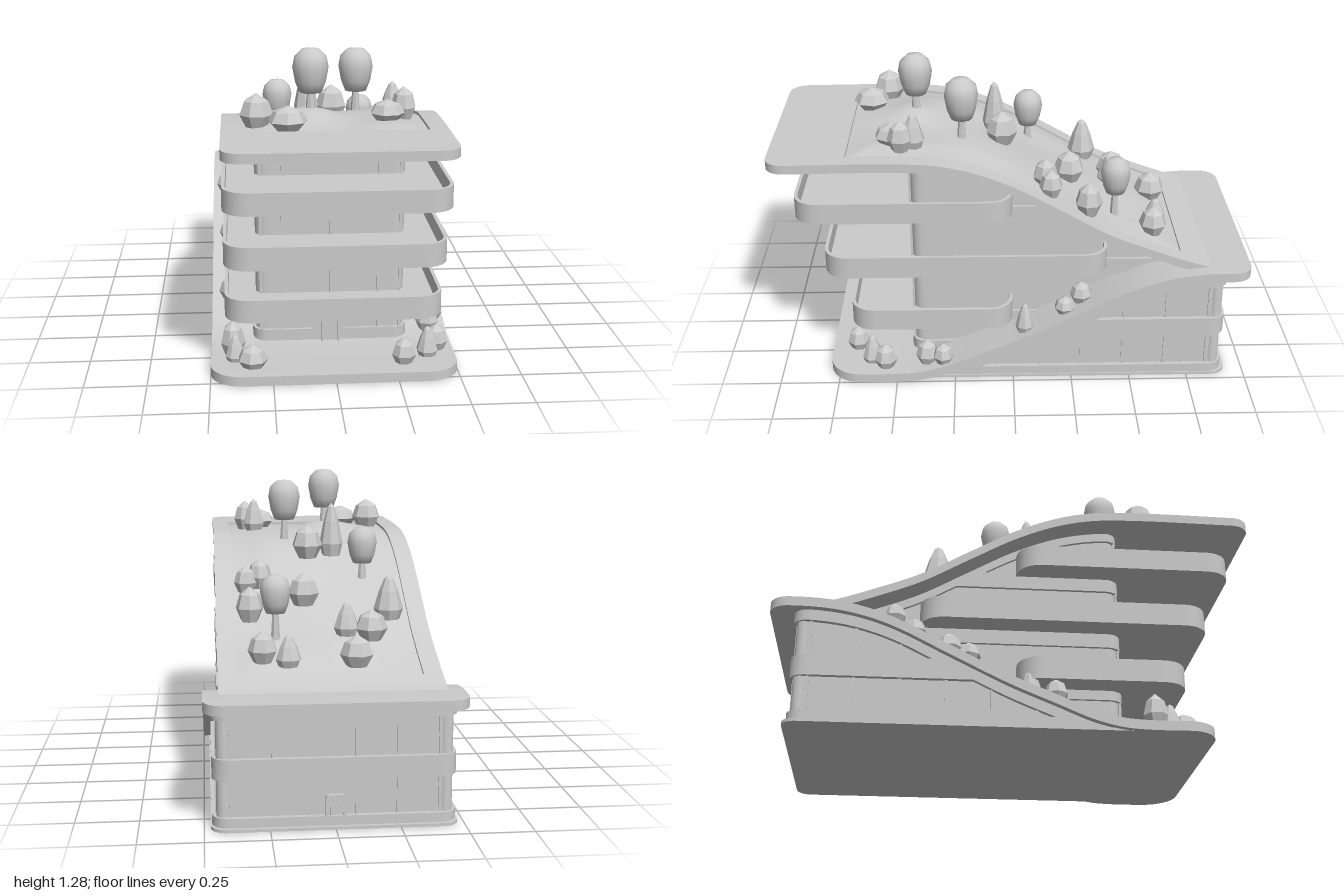
import * as THREE from 'three';
import { toCreasedNormals } from 'three/addons/utils/BufferGeometryUtils.js';

const grey = new THREE.MeshStandardMaterial({ color: 0xcccccc });
const facet = new THREE.MeshStandardMaterial({ color: 0xcccccc, flatShading: true });

// Smooth height curve y(z) through points listed from back to front
const curve = (pts) => (z) => {
  const n = pts.length;
  if (z <= pts[0][0]) return pts[0][1];
  if (z >= pts[n - 1][0]) return pts[n - 1][1];
  const k = pts.findIndex((p) => p[0] > z) - 1;
  const slope = (i) => (i <= 0 || i >= n - 1 ? 0 : (pts[i + 1][1] - pts[i - 1][1]) / (pts[i + 1][0] - pts[i - 1][0]));
  const h = pts[k + 1][0] - pts[k][0], t = (z - pts[k][0]) / h, s = 1 - t;
  return pts[k][1] * (1 + 2 * t) * s * s + slope(k) * h * t * s * s
    + pts[k + 1][1] * t * t * (3 - 2 * t) - slope(k + 1) * h * t * t * s;
};
const roofY = curve([[-1, 0.505], [-0.85, 0.511], [-0.75, 0.537], [-0.6, 0.59], [-0.4, 0.672], [-0.2, 0.785], [0, 0.895], [0.2, 0.97], [0.4, 1], [1, 1]]);
const rampY = curve([[-1, 0.515], [-0.8, 0.513], [-0.65, 0.49], [-0.5, 0.44], [-0.3, 0.34], [-0.05, 0.215], [0.14, 0.135], [0.3, 0.07], [0.45, 0.04], [0.79, 0.04]]);

// Skin a list of cross-sections; closed sections wrap round
function loft(rows, closed) {
  const m = rows[0].length, index = [];
  for (let i = 0; i < rows.length - 1; i++) {
    for (let j = 0; j < (closed ? m : m - 1); j++) {
      const a = i * m + j, b = i * m + (j + 1) % m;
      index.push(a, b, a + m, b, b + m, a + m);
    }
  }
  const g = new THREE.BufferGeometry();
  g.setAttribute('position', new THREE.Float32BufferAttribute(rows.flat(2), 3));
  g.setIndex(index);
  return toCreasedNormals(g, 0.6);
}

// Curved slab running front to back, with rounded plan corners
function slab({ x0, x1, front, back, rf = 0, rb = 0, top, thick }) {
  const zs = [];
  for (let i = 0; i <= 64; i++) zs.push(front + (back - front) * i / 64);
  for (let i = 1; i < 10; i++) {
    const c = 1 - Math.cos(i * Math.PI / 20);
    if (rf) zs.push(front - rf * c);
    if (rb) zs.push(back + rb * c);
  }
  zs.sort((a, b) => b - a);
  const cut = (d, r) => (d < r ? r - Math.sqrt(Math.max(0, r * r - (r - d) ** 2)) : 0);
  const rows = zs.map((z) => {
    const c = cut(front - z, rf) + cut(z - back, rb), y = top(z);
    return [[x0 + c, y, z], [x1 - c, y, z], [x1 - c, y - thick, z], [x0 + c, y - thick, z]];
  });
  const cap = (z) => Array(4).fill([(x0 + x1) / 2, top(z) - thick / 2, z]);
  return loft([cap(front), ...rows, cap(back)], true);
}

// Rounded rectangle in plan, with points along the straight sides
function plan(hw, front, back, r) {
  const pts = [], corners = [[1, 1], [-1, 1], [-1, -1], [1, -1]];
  corners.forEach(([sx, sz], k) => {
    const cx = sx * (hw - r), cz = sz > 0 ? front - r : back + r;
    for (let i = 0; i <= 6; i++) {
      const a = (k + i / 6) * Math.PI / 2;
      pts.push([cx + r * Math.cos(a), cz + r * Math.sin(a)]);
    }
    const [nx, nz] = corners[(k + 1) % 4], last = pts[pts.length - 1];
    const a = (k + 1) * Math.PI / 2;
    const ex = nx * (hw - r) + r * Math.cos(a), ez = (nz > 0 ? front - r : back + r) + r * Math.sin(a);
    for (let i = 1; i < 32; i++) pts.push([last[0] + (ex - last[0]) * i / 32, last[1] + (ez - last[1]) * i / 32]);
  });
  pts.push(pts[0]);
  return pts;
}

// Wall ring on a rounded plan, cut off below a lid height
function ring(hw, front, back, r, t, y0, y1, lid = () => 9) {
  const at = (f, z) => Math.max(0.004, Math.min(typeof f === 'function' ? f(z) : f, lid(z)));
  const outer = plan(hw, front, back, r), inner = plan(hw - t, front - t, back + t, r - t);
  return loft(outer.map(([x, z], i) => {
    const [u, w] = inner[i];
    return [[x, at(y0, z), z], [x, at(y1, z), z], [u, at(y1, z), w], [u, at(y0, z), w]];
  }), true);
}

export function createModel() {
  const model = new THREE.Group();
  const add = (name, geo, x = 0, y = 0, z = 0, mat = grey, parent = model) => {
    const m = new THREE.Mesh(geo, mat);
    m.name = name;
    m.position.set(x, y, z);
    parent.add(m);
    return m;
  };
  const bar = (name, x, z, y0, y1, w = 0.01, d = 0.01) => {
    if (y1 - y0 > 0.02) add(name, new THREE.BoxGeometry(w, y1 - y0, d), x, (y0 + y1) / 2, z);
  };

  // Ramp rising from the front terrace to the back deck
  add('ramp', slab({ x0: -0.5, x1: 0.5, front: 0.79, back: -1, rf: 0.13, rb: 0.08, top: rampY, thick: 0.04 }));

  // Roof frame around a sunken garden bed
  const roof = { top: roofY, thick: 0.038 };
  add('roofFront', slab({ ...roof, x0: -0.44, x1: 0.44, front: 1, back: 0.68, rf: 0.08 }));
  add('roofBack', slab({ ...roof, x0: -0.44, x1: 0.44, front: -0.71, back: -0.87 }));
  for (const s of [-1, 1]) {
    add('roofRail', slab({ ...roof, x0: s > 0 ? 0.365 : -0.44, x1: s > 0 ? 0.44 : -0.365, front: 0.68, back: -0.71 }));
  }
  add('gardenBed', slab({ x0: -0.365, x1: 0.365, front: 0.68, back: -0.71, top: (z) => roofY(z) - 0.016, thick: 0.022 }));
  const groundY = (x, z) => {
    const edge = Math.min(1, (0.365 - Math.abs(x)) * 8, (0.68 - z) * 8, (z + 0.71) * 8);
    const mound = 0.045 * Math.exp(-((x + 0.07) ** 2 + (z - 0.42) ** 2) / 0.015);
    return roofY(z) - 0.012 + edge * (0.012 + 0.012 * Math.sin(9 * x + 3 * z) * Math.cos(7 * z - 4 * x) + mound);
  };
  const terrain = [];
  for (let i = 0; i <= 50; i++) {
    const z = 0.68 - 1.39 * i / 50, row = [];
    for (let j = 0; j <= 28; j++) {
      const x = -0.365 + 0.73 * j / 28;
      row.push([x, groundY(x, z), z]);
    }
    terrain.push(row);
  }
  add('gardenGround', loft(terrain, false));

  // Tower: recessed glazing with projecting wall bands
  const underRoof = (z) => roofY(z) - 0.02;
  add('towerGlazing', ring(0.311, 0.427, -0.79, 0.045, 0.01, 0.01, 2, underRoof));
  for (const [a, b] of [[0.01, 0.09], [0.185, 0.24], [0.42, 0.495], [0.68, 0.75], [(z) => roofY(z) - 0.075, 2]]) {
    add('towerBand', ring(0.325, 0.44, -0.8, 0.06, 0.02, a, b, underRoof));
  }
  for (const [a, b] of [[0.09, 0.185], [0.24, 0.42], [0.495, 0.68], [0.75, 0.93]]) {
    for (const x of [-0.29, -0.2, 0, 0.2, 0.29]) bar('towerMullion', x, 0.428, a, b);
  }
  bar('entrancePanel', 0, 0.43, 0.04, 0.2, 0.135, 0.018);

  // Balconies: floor plate and thin parapet
  for (const [front, back, y, h] of [[0.69, 0, 0.225, 0.095], [0.79, -0.4, 0.48, 0.095], [0.9, 0, 0.735, 0.09]]) {
    add('balconyFloor', slab({ x0: -0.435, x1: 0.435, front: front - 0.005, back: back + 0.005, rf: 0.095, rb: 0.095, top: () => y + 0.025, thick: 0.024 }));
    add('balconyParapet', ring(0.44, front, back, 0.1, 0.014, y, y + h));
  }

  // Lower building beneath the ramp
  const underRamp = (z) => rampY(z) - 0.02;
  add('basePlate', slab({ x0: -0.475, x1: 0.475, front: 0.46, back: -0.92, rb: 0.06, top: () => 0.012, thick: 0.012 }));
  add('baseGlazing', ring(0.45, 0.4, -0.885, 0.045, 0.01, 0.004, 2, underRamp));
  for (const [a, b] of [[0.004, 0.05], [0.195, 0.28], [(z) => rampY(z) - 0.085, 2]]) {
    add('baseBand', ring(0.47, 0.42, -0.905, 0.065, 0.03, a, b, underRamp));
  }
  for (const [a, b] of [[0.05, 0.195], [0.28, 0.45]]) {
    for (const x of [-0.4, -0.24, -0.08, 0.08, 0.24, 0.4]) bar('baseMullion', x, -0.888, a, b);
    for (const s of [-1, 1]) {
      for (let z = -0.83; z < 0.1; z += 0.18) bar('baseMullion', s * 0.453, z, a, Math.min(b, rampY(z) - 0.06));
      add('cornerColumn', new THREE.CylinderGeometry(0.03, 0.03, b - a, 16), s * 0.424, (a + b) / 2, -0.859);
    }
  }

  // Arched doors at front and back
  const arch = (w, h) => {
    const s = new THREE.Shape().moveTo(-w, 0).lineTo(w, 0).lineTo(w, h - 0.02);
    s.quadraticCurveTo(w, h, w - 0.02, h).lineTo(0.02 - w, h).quadraticCurveTo(-w, h, -w, h - 0.02);
    return s;
  };
  for (const [z, turn, y] of [[0.436, 0, 0.04], [-0.886, Math.PI, 0.012]]) {
    const door = new THREE.Group();
    door.name = 'door';
    door.position.set(0, y, z);
    door.rotation.y = turn;
    const frame = arch(0.04, 0.12);
    frame.holes.push(arch(0.028, 0.105));
    add('doorFrame', new THREE.ExtrudeGeometry(frame, { depth: 0.02, bevelEnabled: false }), 0, 0, 0, grey, door);
    add('doorLeaf', new THREE.ExtrudeGeometry(arch(0.03, 0.107), { depth: 0.008, bevelEnabled: false }), 0, 0, 0, grey, door);
    add('doorHandle', new THREE.BoxGeometry(0.005, 0.05, 0.008), -0.02, 0.05, 0.012, grey, door);
    model.add(door);
  }

  // Planting: faceted crowns turned from three profiles
  const turned = (pts, n) => new THREE.LatheGeometry(pts.map((p) => new THREE.Vector2(...p)), n);
  const forms = {
    bush: turned([[0, 0], [0.6, 0.02], [1, 0.4], [0.72, 0.78], [0, 1]], 7),
    cone: turned([[0, 0], [0.75, 0.02], [1, 0.25], [0.65, 0.65], [0.3, 0.92], [0, 1]], 8),
    crown: turned([[0, 0], [0.62, 0.02], [0.85, 0.25], [1, 0.58], [0.88, 0.82], [0.5, 0.97], [0, 1]], 12),
  };
  let count = 0;
  const plant = (form, x, y, z, r, h) => {
    const p = add(form, forms[form], x, y, z, form === 'crown' ? grey : facet);
    p.scale.set(r, h, r);
    p.rotation.y = count++ * 1.3;
  };
  for (const [x, z, top, trunk] of [[-0.08, 0.41, 1.28, 0.09], [0.12, 0.21, 1.245, 0.1], [-0.2, -0.08, 1.06, 0.06], [0.2, -0.44, 0.91, 0.1]]) {
    const r = trunk === 0.06 || trunk === 0.1 && z < 0 ? 0.064 : 0.073, base = top - r * 2.5, g = groundY(x, z) - 0.01;
    add('trunk', new THREE.CylinderGeometry(0.012, 0.02, base + 0.02 - g, 7), x, (base + 0.02 + g) / 2, z, facet);
    plant('crown', x, base, z, r, r * 2.5);
  }
  for (const [form, x, z, r, h] of [
    ['bush', -0.11, -0.63, 0.068, 0.13], ['cone', 0.16, -0.62, 0.052, 0.13], ['bush', 0.26, -0.6, 0.06, 0.13],
    ['bush', -0.19, -0.46, 0.068, 0.13], ['cone', -0.09, -0.44, 0.053, 0.14], ['cone', -0.28, -0.33, 0.062, 0.19],
    ['bush', 0.3, -0.32, 0.058, 0.15], ['bush', 0.07, -0.25, 0.067, 0.14], ['bush', 0.25, -0.14, 0.054, 0.13],
    ['bush', 0.31, -0.16, 0.05, 0.12], ['bush', 0.03, 0.04, 0.068, 0.15], ['cone', -0.08, 0.07, 0.052, 0.24],
    ['cone', 0.25, 0.41, 0.05, 0.15], ['bush', 0.22, 0.5, 0.07, 0.09], ['bush', 0.29, 0.46, 0.052, 0.14],
    ['bush', -0.3, 0.54, 0.068, 0.14], ['bush', -0.18, 0.61, 0.078, 0.1]]) {
    plant(form, x, groundY(x, z) - 0.01, z, r, h);
  }
  for (const [form, x, z, r, h] of [
    ['bush', 0.28, 0.68, 0.05, 0.115], ['cone', 0.385, 0.61, 0.045, 0.135], ['bush', 0.43, 0.55, 0.05, 0.12],
    ['bush', -0.33, 0.68, 0.062, 0.105], ['cone', -0.4, 0.61, 0.042, 0.12], ['bush', -0.41, 0.55, 0.052, 0.16],
    ['bush', 0.42, 0.37, 0.05, 0.12], ['bush', 0.45, 0.3, 0.046, 0.1], ['cone', 0.43, -0.05, 0.04, 0.14],
    ['bush', 0.42, -0.22, 0.045, 0.08], ['bush', 0.39, -0.29, 0.048, 0.1], ['bush', -0.42, 0.15, 0.05, 0.11],
    ['cone', -0.4, 0.05, 0.042, 0.13], ['bush', -0.42, -0.2, 0.05, 0.1], ['bush', -0.39, -0.28, 0.055, 0.11],
    ['bush', -0.385, -0.42, 0.052, 0.1], ['bush', -0.44, -0.5, 0.045, 0.1]]) {
    plant(form, x, rampY(z) - 0.012, z, r, h);
  }
  return model;
}
